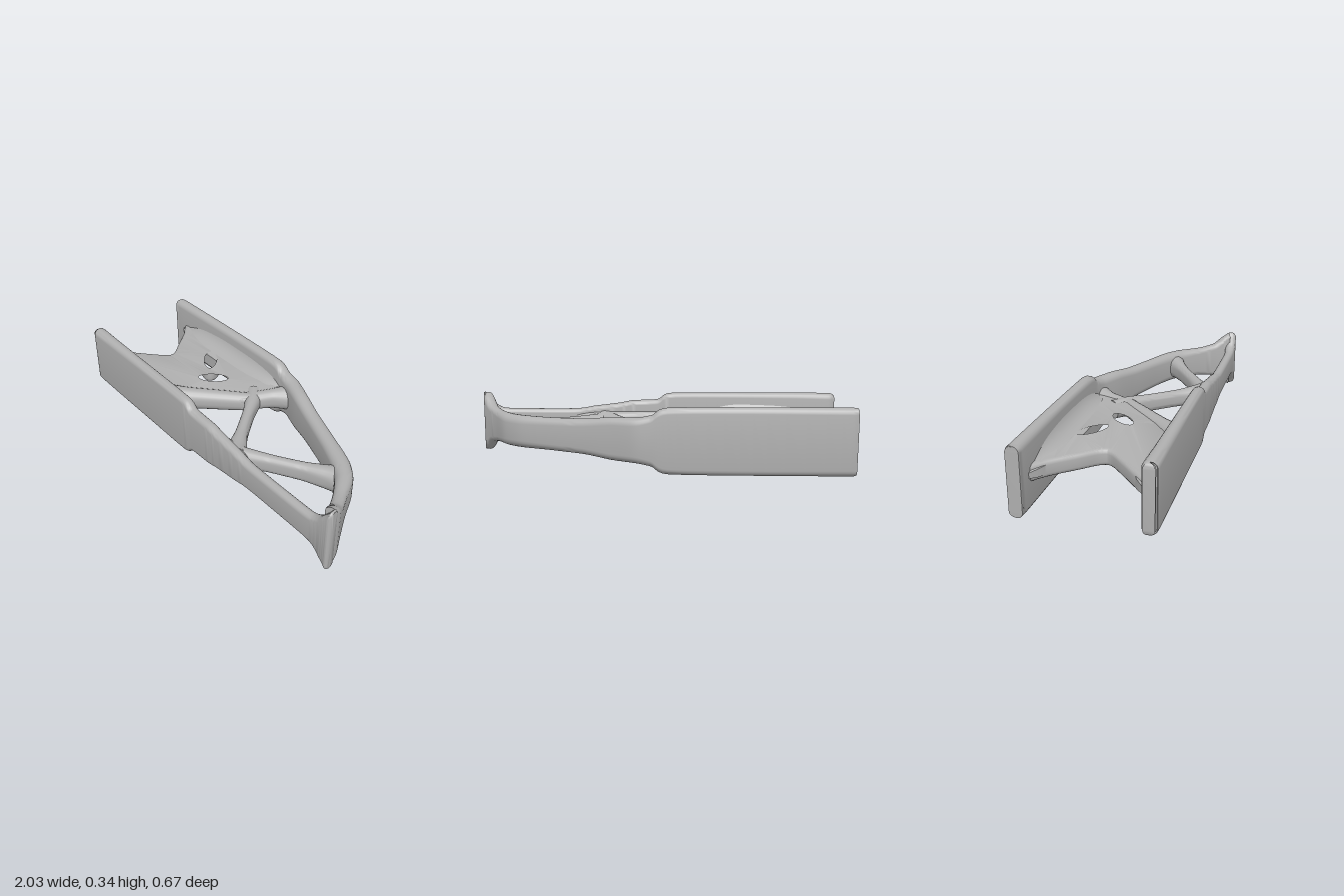
import * as THREE from 'three';
import { toCreasedNormals, mergeVertices } from 'three/addons/utils/BufferGeometryUtils.js';

const MID = 0.175; // height of the horizontal middle plane
const metal = new THREE.MeshStandardMaterial({ color: 0xb0b0b0 });
metal.name = 'grey metal';

function mesh(name, geometry, crease = 0.8) {
  const m = new THREE.Mesh(toCreasedNormals(geometry, crease), metal);
  m.name = name;
  return m;
}

// Rounded-rectangle section swept along stations [x, z, half thickness, half height].
function sweep(name, stations, round = 0.9, stepsPer = 6) {
  const path = new THREE.CatmullRomCurve3(stations.map(s => new THREE.Vector3(s[0], 0, s[1])), false, 'catmullrom', 0.35);
  const size = new THREE.CatmullRomCurve3(stations.map(s => new THREE.Vector3(s[2], s[3], 0)), false, 'catmullrom', 0.3);
  const rings = (stations.length - 1) * stepsPer;
  const corner = 5, n = 4 * (corner + 1);
  const pos = [], idx = [];
  for (let i = 0; i <= rings; i++) {
    const u = i / rings, p = path.getPoint(u), s = size.getPoint(u), t = path.getTangent(u);
    const r = Math.min(s.x, s.y) * round;
    for (let c = 0; c < 4; c++) {
      const sx = c === 0 || c === 3 ? 1 : -1, sy = c < 2 ? 1 : -1;
      for (let k = 0; k <= corner; k++) {
        const a = (c + k / corner) * Math.PI / 2;
        const side = sx * (s.x - r) + r * Math.cos(a);
        pos.push(p.x - t.z * side, MID + sy * (s.y - r) + r * Math.sin(a), p.z + t.x * side);
      }
    }
  }
  for (let i = 0; i < rings; i++) {
    for (let j = 0; j < n; j++) {
      const a = i * n + j, b = i * n + (j + 1) % n;
      idx.push(a, a + n, b, b, a + n, b + n);
    }
  }
  // End caps
  for (const [u, base, flip] of [[0, 0, false], [1, rings * n, true]]) {
    const p = path.getPoint(u), centre = pos.length / 3;
    pos.push(p.x, MID, p.z);
    for (let j = 0; j < n; j++) {
      const a = base + j, b = base + (j + 1) % n;
      idx.push(centre, flip ? b : a, flip ? a : b);
    }
  }
  const g = new THREE.BufferGeometry();
  g.setAttribute('position', new THREE.Float32BufferAttribute(pos, 3));
  g.setIndex(idx);
  return mesh(name, g);
}

// Concave fillet blending the web into a flange; dir points from flange to web.
function fillet(name, x0, x1, z, dir, sideY) {
  const s = new THREE.Shape();
  s.moveTo(0, 0);
  s.lineTo(0.14, 0);
  s.lineTo(0.14, 0.035);
  s.quadraticCurveTo(0.035, 0.045, 0.02, 0.14);
  s.lineTo(0, 0.14);
  let g = new THREE.ExtrudeGeometry(s, { depth: 1, steps: 20, bevelEnabled: false, curveSegments: 8 });
  g.deleteAttribute('uv');
  g.deleteAttribute('normal');
  g = mergeVertices(g);
  const p = g.attributes.position;
  for (let i = 0; i < p.count; i++) {
    const u = p.getZ(i), k = 1 - Math.pow(Math.abs(2 * u - 1), 4);
    p.setXYZ(i, x0 + (x1 - x0) * u, MID + sideY * p.getY(i) * (0.3 + 0.7 * k), z + dir * p.getX(i) * (0.15 + 0.85 * k));
  }
  // Mirrored sides need their corner order reversed
  if (dir * sideY > 0) {
    const ix = g.index.array;
    for (let i = 0; i < ix.length; i += 3) [ix[i], ix[i + 1]] = [ix[i + 1], ix[i]];
  }
  return mesh(name, flipToOutside(g));
}

// Reverses all faces when the enclosed volume comes out negative.
function flipToOutside(g) {
  const p = g.attributes.position, ix = g.index.array;
  const [a, b, c] = [0, 1, 2].map(() => new THREE.Vector3());
  let volume = 0;
  for (let i = 0; i < ix.length; i += 3) {
    a.fromBufferAttribute(p, ix[i]);
    b.fromBufferAttribute(p, ix[i + 1]);
    c.fromBufferAttribute(p, ix[i + 2]);
    volume += a.dot(b.cross(c));
  }
  if (volume < 0) for (let i = 0; i < ix.length; i += 3) [ix[i], ix[i + 1]] = [ix[i + 1], ix[i]];
  return g;
}

// Horizontal plate joining the flanges, with rounded openings.
function web() {
  const v = list => list.map(([x, z]) => new THREE.Vector2(x, z));
  const s = new THREE.Shape();
  s.moveTo(-0.95, -0.29);
  s.splineThru(v([[-0.85, -0.21], [-0.75, -0.1], [-0.68, -0.02], [-0.68, 0.03], [-0.76, 0.11], [-0.86, 0.2], [-0.95, 0.29]]));
  s.lineTo(-0.3, 0.3);
  s.splineThru(v([[-0.33, 0.25], [-0.25, 0.15], [-0.13, 0.04], [-0.02, -0.05], [0, -0.1], [-0.01, -0.15], [0.03, -0.22], [0.1, -0.27]]));
  s.lineTo(0.02, -0.3);
  s.closePath();
  const bevel = 0.022;
  const holes = [[-0.63, -0.212, 0.05, 0.025, 0.5], [-0.475, -0.135, 0.11, 0.052, 0.68],
    [-0.305, -0.03, 0.1, 0.052, -0.8], [-0.11, -0.238, 0.075, 0.036, 0.1]];
  for (const [x, z, rx, rz, turn] of holes) {
    const h = new THREE.Path();
    h.absellipse(x, z, rx, rz, 0, Math.PI * 2, true, turn);
    s.holes.push(h);
  }
  const g = new THREE.ExtrudeGeometry(s, {
    depth: 0.04, curveSegments: 28, bevelThickness: bevel, bevelSize: bevel, bevelOffset: -bevel * 0.7, bevelSegments: 4,
  });
  g.rotateX(Math.PI / 2);
  g.translate(0, MID + 0.02, 0);
  return mesh('web', g, 0.9);
}

export function createModel() {
  const group = new THREE.Group();
  group.name = 'bracket';

  // Front flange: tall at the left, necking down and flaring at the tip
  group.add(sweep('frontFlange', [
    [-1, 0.298, 0.026, 0.163], [-0.985, 0.297, 0.037, 0.17], [-0.8, 0.3, 0.034, 0.171], [-0.4, 0.302, 0.031, 0.17],
    [-0.08, 0.304, 0.03, 0.166], [-0.01, 0.304, 0.03, 0.13], [0.13, 0.304, 0.03, 0.123], [0.21, 0.304, 0.03, 0.108],
    [0.35, 0.306, 0.028, 0.09], [0.47, 0.308, 0.026, 0.073], [0.85, 0.308, 0.026, 0.073], [0.92, 0.306, 0.028, 0.092],
    [0.965, 0.304, 0.03, 0.135], [0.99, 0.3, 0.033, 0.168], [1, 0.298, 0.022, 0.165],
  ]));

  // Back flange, bending into the sloped band and down to the tip
  group.add(sweep('backFlange', [
    [-1, -0.3, 0.026, 0.165], [-0.985, -0.298, 0.036, 0.172], [-0.5, -0.302, 0.033, 0.172], [-0.08, -0.301, 0.034, 0.168],
    [0, -0.298, 0.037, 0.13], [0.08, -0.287, 0.042, 0.115], [0.2, -0.24, 0.041, 0.11], [0.35, -0.185, 0.039, 0.092],
    [0.55, -0.11, 0.041, 0.086], [0.69, -0.05, 0.046, 0.086], [0.78, 0.015, 0.044, 0.086], [0.86, 0.12, 0.033, 0.088],
    [0.92, 0.205, 0.032, 0.105], [0.957, 0.262, 0.033, 0.15], [0.972, 0.292, 0.026, 0.168],
  ]));

  group.add(web());
  for (const sideY of [-1, 1]) {
    group.add(fillet('frontFillet', -0.96, -0.22, 0.3, -1, sideY));
    group.add(fillet('backFillet', -0.96, 0.1, -0.3, 1, sideY));
  }

  // Struts bracing the open bays
  group.add(sweep('middleStrut', [
    [-0.09, -0.15, 0.05, 0.05], [-0.02, -0.085, 0.042, 0.052], [0.06, 0.01, 0.03, 0.047], [0.17, 0.14, 0.032, 0.047],
    [0.24, 0.222, 0.05, 0.055], [0.29, 0.285, 0.075, 0.065],
  ], 1));
  group.add(sweep('backStrut', [
    [0.06, -0.28, 0.07, 0.07], [0.01, -0.2, 0.044, 0.055], [-0.03, -0.12, 0.042, 0.05], [-0.07, -0.06, 0.04, 0.045],
  ], 1));
  group.add(sweep('rightStrut', [
    [0.25, 0.285, 0.055, 0.06], [0.33, 0.237, 0.04, 0.052], [0.45, 0.165, 0.031, 0.048], [0.58, 0.085, 0.032, 0.05],
    [0.67, 0.03, 0.045, 0.06], [0.73, -0.01, 0.065, 0.07],
  ], 1));
  group.add(sweep('diagonalRib', [
    [-0.03, -0.09, 0.04, 0.05], [-0.14, 0.02, 0.045, 0.055], [-0.28, 0.16, 0.05, 0.06], [-0.4, 0.28, 0.07, 0.075],
  ], 1));
  // Thickened foot where the ribs meet the front flange
  group.add(sweep('frontFoot', [
    [-0.4, 0.285, 0.03, 0.07], [-0.1, 0.282, 0.028, 0.065], [0.1, 0.275, 0.03, 0.06], [0.27, 0.27, 0.04, 0.06],
    [0.36, 0.283, 0.03, 0.055], [0.46, 0.3, 0.02, 0.045],
  ], 1));
  return group;
}
